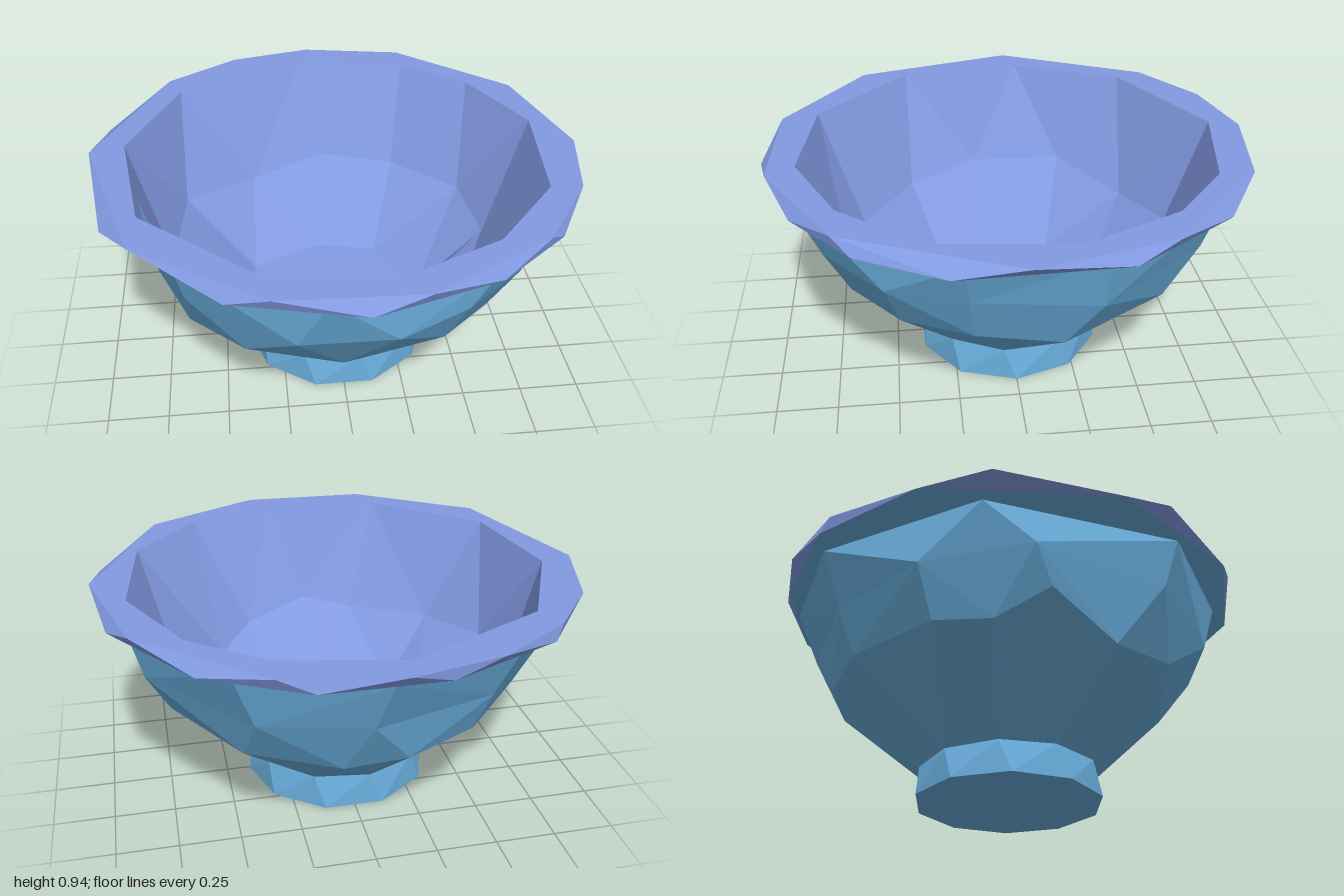
import * as THREE from 'three';

const glaze = new THREE.MeshStandardMaterial({ color: 0x69aedc, flatShading: true });
glaze.name = 'outer blue glaze';
const lining = new THREE.MeshStandardMaterial({ color: 0x829ae2, flatShading: true });
lining.name = 'inner periwinkle glaze';

// Loop points as [x, y, z], sorted counter-clockwise seen from above
const angle = (p) => Math.atan2(p[0], p[2]);
const sorted = (pts) => pts.sort((p, q) => angle(p) - angle(q));
// from [degrees, radius, height]
const polar = (list) => sorted(list.map(([a, r, y]) => {
  const t = (a * Math.PI) / 180;
  return [r * Math.sin(t), y, r * Math.cos(t)];
}));
// from [x, z] with a height rule
const plan = (list, height) => sorted(list.map(([x, z]) => [x, height(Math.hypot(x, z)), z]));

// Join two loops of different point counts with triangles, taking the shorter diagonal
function zip(a, b, out) {
  const turn = Math.PI * 2;
  const na = a.length > 1 ? a.length : 0;
  const nb = b.length > 1 ? b.length : 0;
  let start = 0;
  const gap = (p) => {
    const d = Math.abs(angle(p) - angle(a[0]));
    return Math.min(d, turn - d);
  };
  if (na && nb) b.forEach((p, k) => { if (gap(p) < gap(b[start])) start = k; });
  let shift = 0;
  if (na && nb) shift = Math.round((angle(a[0]) - angle(b[start])) / turn) * turn;
  const A = (i) => a[i % a.length];
  const B = (j) => b[(start + j) % b.length];
  const angA = (i) => angle(A(i)) + turn * Math.floor(i / a.length);
  const angB = (j) => angle(B(j)) + turn * Math.floor((start + j) / b.length) + shift;
  let i = 0, j = 0;
  while (i < na || j < nb) {
    if (j >= nb || (i < na && angA(i) + angA(i + 1) <= angB(j) + angB(j + 1))) {
      out.push(...A(i), ...A(i + 1), ...B(j));
      i++;
    } else {
      out.push(...A(i), ...B(j + 1), ...B(j));
      j++;
    }
  }
}

// Skin a sequence of loops into one faceted mesh
function skin(name, loops, material) {
  const pos = [];
  for (let k = 0; k + 1 < loops.length; k++) zip(loops[k], loops[k + 1], pos);
  const geo = new THREE.BufferGeometry();
  geo.setAttribute('position', new THREE.Float32BufferAttribute(pos, 3));
  geo.computeVertexNormals();
  const mesh = new THREE.Mesh(geo, material);
  mesh.name = name;
  return mesh;
}

export function createModel() {
  const group = new THREE.Group();
  group.name = 'bowl';

  // Foot loops
  const ten = [...Array(10).keys()];
  const footBottom = polar(ten.map((k) => [k * 36 - 18, 0.4, 0]));
  const footTop = polar(ten.map((k) => [k * 36 - 26, 0.38, 0.14]));

  // Irregular loops up the outer wall
  const lower = polar([
    [-80, 0.8, 0.58], [-58, 0.74, 0.43], [-33, 0.75, 0.46], [-3, 0.65, 0.37], [28, 0.75, 0.48],
    [50, 0.73, 0.46], [75, 0.77, 0.5], [101, 0.74, 0.43], [140, 0.75, 0.45], [170, 0.74, 0.43],
    [189, 0.76, 0.46], [213, 0.75, 0.48], [246, 0.76, 0.48], [264, 0.74, 0.47],
  ]);
  const upper = polar([
    [-85, 0.87, 0.72], [-46, 0.86, 0.7], [-15, 0.86, 0.64], [10, 0.85, 0.64], [29, 0.86, 0.69],
    [52, 0.85, 0.67], [75, 0.85, 0.7], [108, 0.86, 0.65], [148, 0.85, 0.65], [177, 0.86, 0.67],
    [213, 0.83, 0.66], [245, 0.86, 0.68],
  ]);
  const wallTop = polar([
    [-98, 0.9, 0.885], [-45, 0.92, 0.885], [-7, 0.92, 0.885], [37, 0.92, 0.885], [75, 0.92, 0.885],
    [107, 0.92, 0.885], [145, 0.93, 0.885], [180, 0.95, 0.885], [215, 0.93, 0.885],
  ]);

  // Rim loops
  const rimBottom = plan([
    [0.02, 1], [0.5, 0.85], [0.78, 0.62], [0.96, 0.29], [0.94, -0.34], [0.65, -0.76],
    [0.27, -0.96], [-0.2, -0.96], [-0.65, -0.76], [-0.94, -0.37], [-0.92, 0.41], [-0.47, 0.88],
  ], () => 0.89);
  const rimTop = plan([
    [-0.04, -1], [0.4, -0.92], [0.86, -0.51], [1, 0.02], [0.71, 0.69], [0.23, 0.96],
    [-0.31, 0.94], [-0.8, 0.6], [-1, -0.09], [-0.69, -0.72], [-0.39, -0.92],
  ], () => 0.94);
  const mouth = plan([
    [-0.08, -0.88], [0.4, -0.78], [0.67, -0.56], [0.86, -0.17], [0.8, 0.36], [0.53, 0.68],
    [0.16, 0.85], [-0.35, 0.79], [-0.78, 0.4], [-0.86, -0.13], [-0.64, -0.6],
  ], () => 0.94);

  // Hollow loops
  const innerMid = plan([
    [0, -0.7], [0.34, -0.6], [0.61, -0.33], [0.66, -0.02], [0.46, 0.36], [0.31, 0.56], [0.02, 0.69],
    [-0.2, 0.62], [-0.53, 0.4], [-0.69, 0.09], [-0.64, -0.32], [-0.33, -0.57],
  ], (r) => 0.5 + (r - 0.68));
  const floor = plan([
    [-0.04, -0.37], [0.22, -0.31], [0.38, -0.02], [0.25, 0.15], [-0.02, 0.28], [-0.31, 0.28],
    [-0.39, 0.04], [-0.35, -0.23],
  ], () => 0.2);

  group.add(
    skin('foot', [[[0, 0, 0]], footBottom, footTop], glaze),
    skin('outerWall', [footTop, lower, upper, wallTop], glaze),
    skin('rimUnderside', [wallTop, rimBottom], glaze),
    skin('rim', [rimBottom, rimTop, mouth], lining),
    skin('innerWall', [mouth, innerMid, floor], lining),
    skin('innerFloor', [floor, [[-0.13, 0.19, -0.09]]], lining),
  );
  return group;
}
